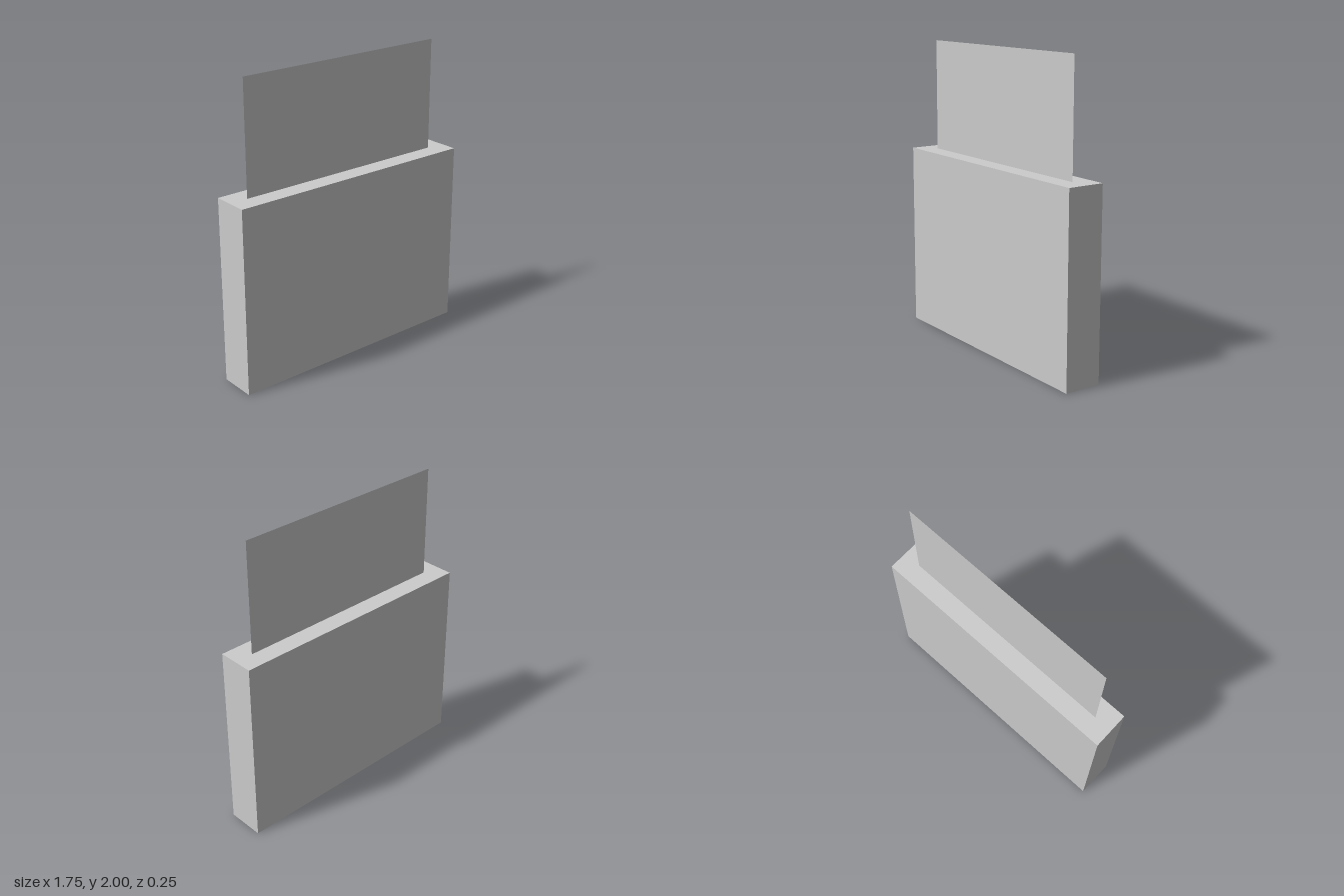
import * as THREE from 'three';

export function createModel() {
  const model = new THREE.Group();

  // Solid slab standing on the ground
  const base = new THREE.Mesh(
    new THREE.BoxGeometry(1.75, 1.25, 0.25),
    new THREE.MeshStandardMaterial({ color: 0xcccccc, flatShading: true })
  );
  base.name = 'base';
  base.position.y = 0.625;
  model.add(base);

  // Thin upright sheet on the centre line of the slab's top
  const sheet = new THREE.Mesh(
    new THREE.PlaneGeometry(1.5, 0.75),
    new THREE.MeshStandardMaterial({ color: 0xcccccc, flatShading: true, side: THREE.DoubleSide })
  );
  sheet.name = 'uprightSheet';
  sheet.position.y = 1.625;
  model.add(sheet);

  return model;
}
